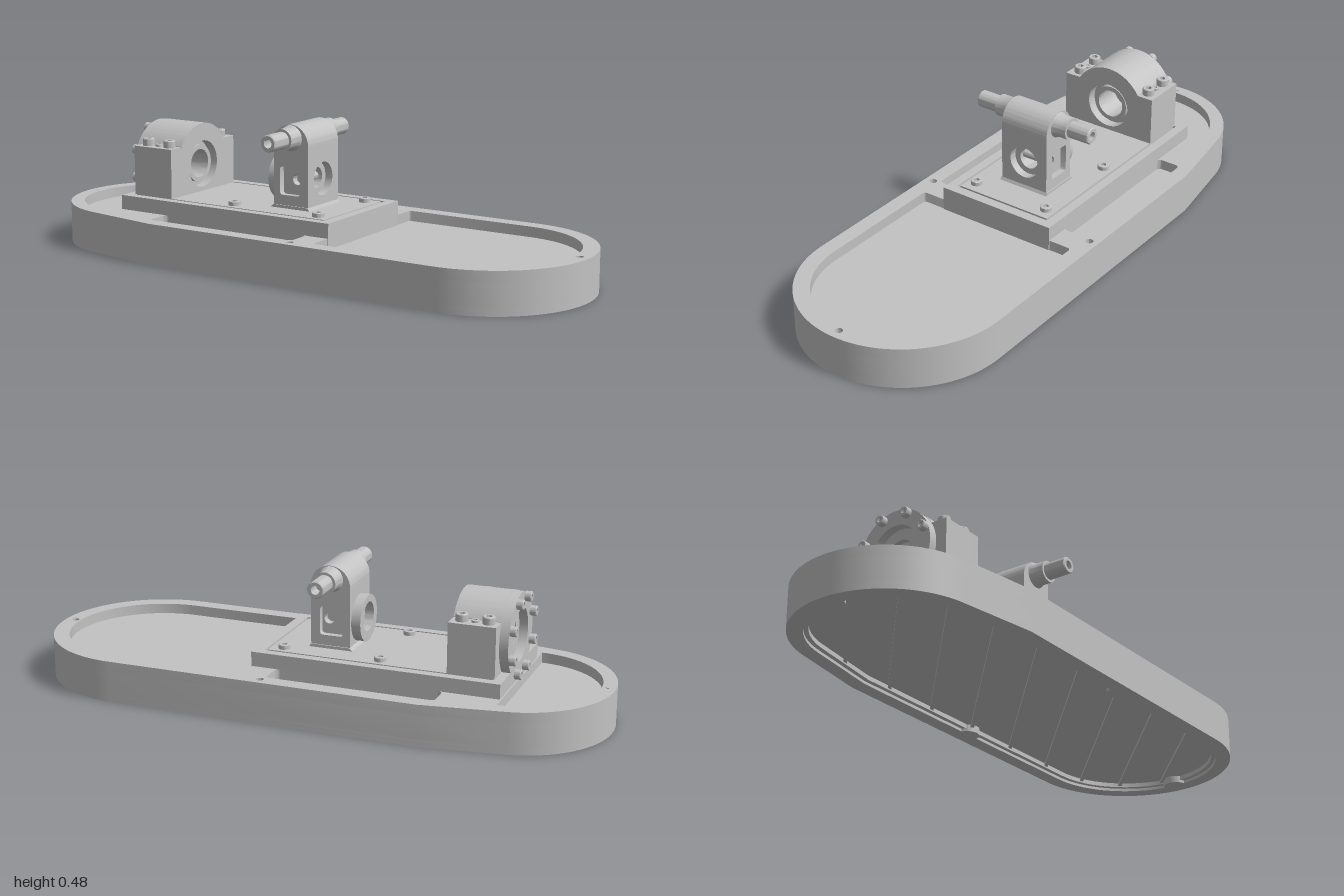
import * as THREE from 'three';
import { toCreasedNormals } from 'three/addons/utils/BufferGeometryUtils.js';

const V = (x, y) => new THREE.Vector2(x, y);

export function createModel() {
  const model = new THREE.Group();
  const grey = new THREE.MeshStandardMaterial({ color: 0xc2c2c2 });

  // ---- helpers ----
  const add = (name, geo, parent = model) => {
    const mesh = new THREE.Mesh(toCreasedNormals(geo, 0.55), grey);
    mesh.name = name;
    parent.add(mesh);
    return mesh;
  };
  const extrude = (shape, depth) =>
    new THREE.ExtrudeGeometry(shape, { depth, bevelEnabled: false, curveSegments: 24 });
  const upright = (shape, y0, y1) => extrude(shape, y1 - y0).rotateX(-Math.PI / 2).translate(0, y0, 0);
  const alongX = (shape, x0, x1) => extrude(shape, x1 - x0).rotateY(Math.PI / 2).translate(x0, 0, 0);
  const alongZ = (shape, z0, z1) => extrude(shape, z1 - z0).translate(0, 0, z0);
  const poly = (...pts) => new THREE.Shape(pts.map(([x, y]) => V(x, y)));
  const rect = (x0, y0, x1, y1) => poly([x0, y0], [x1, y0], [x1, y1], [x0, y1]);
  const disc = (x, y, r) => new THREE.Shape().absarc(x, y, r, 0, Math.PI * 2, false);
  const cut = (shape, ...holes) => { shape.holes.push(...holes); return shape; };
  const roundRect = (x0, y0, x1, y1, r) => {
    const s = new THREE.Shape();
    s.absarc(x1 - r, y1 - r, r, 0, Math.PI / 2);
    s.absarc(x0 + r, y1 - r, r, Math.PI / 2, Math.PI);
    s.absarc(x0 + r, y0 + r, r, Math.PI, Math.PI * 1.5);
    s.absarc(x1 - r, y0 + r, r, Math.PI * 1.5, Math.PI * 2);
    return s;
  };
  const lathe = (pts, seg = 40) => new THREE.LatheGeometry(pts.map(([r, y]) => V(r, y)), seg);
  // cap screw head with a hexagonal socket, standing on y = 0
  const screw = (name, r, h, x, y, z, parent = model) => {
    const g = new THREE.Group();
    g.name = name;
    g.position.set(x, y, z);
    add('screwHead', lathe([[0, 0], [r, 0], [r, h * 0.9], [r * 0.9, h], [r * 0.5, h]], 20), g);
    add('screwSocket', lathe([[r * 0.5, h], [r * 0.5, h * 0.45], [0, h * 0.45]], 6), g);
    parent.add(g);
    return g;
  };

  // ---- base: long rounded tray with a tapered left end ----
  const outline = (d) => {
    const s = new THREE.Shape();
    const t = Math.PI * 100 / 180;
    s.absarc(0.64, 0, 0.36 - d, -Math.PI / 2, Math.PI / 2);
    s.lineTo(-0.45, 0.36 - d);
    s.absarc(-0.68, 0, 0.32 - d, t, Math.PI * 2 - t);
    s.lineTo(-0.45, -0.36 + d);
    return s;
  };
  const spots = [[0.965, 0], [-0.965, 0], [0.1, 0.328], [0.1, -0.328]];
  const spotHoles = () => spots.map(([x, z]) => disc(x, z, 0.013));

  const rightPocket = new THREE.Shape();
  rightPocket.absarc(0.64, 0, 0.305, -Math.PI / 2, Math.PI / 2);
  rightPocket.absarc(0.187, 0.293, 0.012, Math.PI / 2, Math.PI);
  rightPocket.absarc(0.187, -0.293, 0.012, Math.PI, Math.PI * 1.5);
  const leftPocket = new THREE.Shape();
  leftPocket.absarc(-0.685, 0, 0.268, Math.PI / 2, Math.PI * 1.5);

  const floorY = 0.107;
  add('baseRim', upright(cut(outline(0), rightPocket, leftPocket,
    roundRect(-0.49, 0.22, 0.09, 0.305, 0.015),
    roundRect(-0.49, -0.305, 0.09, -0.22, 0.015), ...spotHoles()), floorY, 0.143));
  add('baseFloor', upright(cut(outline(0), ...spotHoles()), 0.025, floorY));
  add('baseLedge', upright(cut(outline(0), outline(0.068)), 0.01, 0.025));
  add('baseFoot', upright(cut(outline(0), outline(0.052)), 0, 0.01));
  // ears that carry the four fixing holes
  for (const [x, z] of spots) {
    const ex = Math.abs(x) > 0.5 ? x - Math.sign(x) * 0.012 : x;
    const ez = z - Math.sign(z) * 0.012;
    add('footEar', upright(cut(disc(ex, ez, 0.042), disc(x, z, 0.013)), 0, 0.025));
  }

  // diagonal ribs under the base, trimmed to the recess
  const inside = (x, z) => {
    const m = 0.05;
    if (x > 0.64) return Math.hypot(x - 0.64, z) < 0.36 - m;
    if (x < -0.68) return Math.hypot(x + 0.68, z) < 0.32 - m;
    const half = x < -0.45 ? 0.36 + (x + 0.45) * 0.17 : 0.36;
    return Math.abs(z) < half - m;
  };
  const slope = 1.08;
  for (let i = -5; i <= 5; i++) {
    const c = i * 0.22;
    const zs = [];
    for (let z = -0.33; z <= 0.33; z += 0.005) if (inside(c - z * slope, z)) zs.push(z);
    if (zs.length < 10) continue;
    const z0 = zs[0], z1 = zs[zs.length - 1], mid = (z0 + z1) / 2;
    add('underRib', new THREE.BoxGeometry((z1 - z0) * Math.hypot(1, slope), 0.012, 0.012)
      .rotateY(Math.atan(1 / slope)).translate(c - mid * slope, 0.021, mid));
  }

  // ---- mounting plate with a narrow groove near its edge ----
  add('plateBody', upright(rect(-0.68, -0.22, 0.178, 0.22), floorY, 0.183));
  add('plateBorder', upright(cut(rect(-0.68, -0.22, 0.178, 0.22),
    rect(-0.65, -0.188, 0.143, 0.188)), 0.183, 0.193));
  add('plateTop', upright(rect(-0.642, -0.18, 0.135, 0.18), 0.183, 0.193));
  for (const x of [-0.25, 0.09])
    for (const s of [-1, 1]) screw('plateScrew', 0.02, 0.015, x, 0.193, s * 0.145);

  // ---- bearing block ----
  const axisY = 0.29;
  const bearing = new THREE.Group();
  bearing.name = 'bearingBlock';
  model.add(bearing);
  const blockShape = () => {
    const s = new THREE.Shape();
    s.absarc(0, axisY, 0.144, 0.56, Math.PI - 0.56);
    s.lineTo(-0.122, 0.365);
    s.lineTo(-0.182, 0.365);
    s.lineTo(-0.182, 0.193);
    s.lineTo(0.182, 0.193);
    s.lineTo(0.182, 0.365);
    s.lineTo(0.122, 0.365);
    return s;
  };
  add('blockFront', alongX(cut(blockShape(), disc(0, axisY, 0.082)), -0.525, -0.49), bearing);
  add('blockBody', alongX(cut(blockShape(), disc(0, axisY, 0.052)), -0.65, -0.525), bearing);
  add('bearingRing', alongX(cut(disc(0, axisY, 0.066), disc(0, axisY, 0.05)), -0.53, -0.505), bearing);
  add('boreWeb', alongX(disc(0, axisY, 0.055), -0.63, -0.61), bearing);
  // end cap, cut flat where it meets the plate
  const cap = new THREE.Shape();
  const low = Math.asin((0.193 - axisY) / 0.143);
  cap.absarc(0, axisY, 0.143, low, Math.PI - low);
  add('endCap', alongX(cut(cap, disc(0, axisY, 0.09)), -0.68, -0.65), bearing);
  for (let i = 0; i < 8; i++) {
    const a = (i + 0.5) * Math.PI / 4;
    screw('capScrew', 0.017, 0.022, -0.68, axisY + 0.128 * Math.sin(a), 0.128 * Math.cos(a), bearing)
      .rotation.z = Math.PI / 2;
  }
  for (const s of [-1, 1]) {
    for (const x of [-0.615, -0.525]) screw('blockScrew', 0.021, 0.025, x, 0.365, s * 0.145, bearing);
    screw('dowel', 0.013, 0.008, -0.57, 0.365, s * 0.145, bearing);
  }

  // ---- pivot bracket ----
  const bracket = new THREE.Group();
  bracket.name = 'pivotBracket';
  model.add(bracket);
  const cx = -0.054, xL = -0.123, xM = -0.013, xR = 0.015, split = 0.405;
  // rounded head above the bored part
  const head = new THREE.Shape();
  head.absarc(cx, 0.411, 0.069, 0, Math.PI);
  head.lineTo(xL, split);
  head.lineTo(xR, split);
  add('bracketHead', alongZ(head, -0.092, 0.092), bracket);
  // front face with the counterbore, core with the narrower bore
  add('bracketFace', alongX(cut(rect(-0.092, 0.193, 0.092, split), disc(0, axisY, 0.057)), xM, xR), bracket);
  add('bracketCore', alongX(cut(rect(-0.04, 0.193, 0.04, split), disc(0, axisY, 0.036)), xL, xM), bracket);
  // side walls: drilled layer, then outer layer with a square window
  for (const s of [-1, 1]) {
    const span = (a, b) => (s > 0 ? [a, b] : [-b, -a]);
    add('bracketWall', alongZ(cut(rect(xL, 0.193, xM, split), disc(-0.042, axisY, 0.018)),
      ...span(0.04, 0.07)), bracket);
    add('bracketWindow', alongZ(cut(rect(xL, 0.193, xM, split),
      roundRect(-0.098, 0.238, -0.017, 0.338, 0.01)), ...span(0.07, 0.092)), bracket);
  }
  add('crossPin', new THREE.CylinderGeometry(0.015, 0.015, 0.1, 24)
    .rotateX(Math.PI / 2).translate(-0.042, axisY, 0), bracket);
  add('rearBoss', alongX(cut(disc(0, axisY - 0.005, 0.08), disc(0, axisY, 0.05)), -0.155, xL), bracket);
  // sloped foot along the front and rear of the bracket
  add('bracketFoot', alongZ(poly([-0.133, 0.193], [0.021, 0.193], [xR, 0.203], [xL, 0.203]), -0.096, 0.096), bracket);

  // pivot rod with flared sleeves and drilled ends
  for (const s of [-1, 1]) {
    const half = new THREE.Group();
    half.name = s > 0 ? 'pivotRodFront' : 'pivotRodBack';
    half.position.set(cx, 0.434, 0);
    half.rotation.x = s * Math.PI / 2;
    bracket.add(half);
    add('sleeve', lathe([[0.046, 0.085], [0.044, 0.093], [0.04, 0.1], [0.038, 0.108],
      [0.038, 0.145], [0.028, 0.145]]), half);
    add('rod', lathe([[0.029, 0.14], [0.029, 0.224], [0.026, 0.227], [0.015, 0.227]]), half);
    add('rodSocket', lathe([[0.015, 0.227], [0.015, 0.18], [0, 0.18]], 24), half);
  }
  return model;
}
